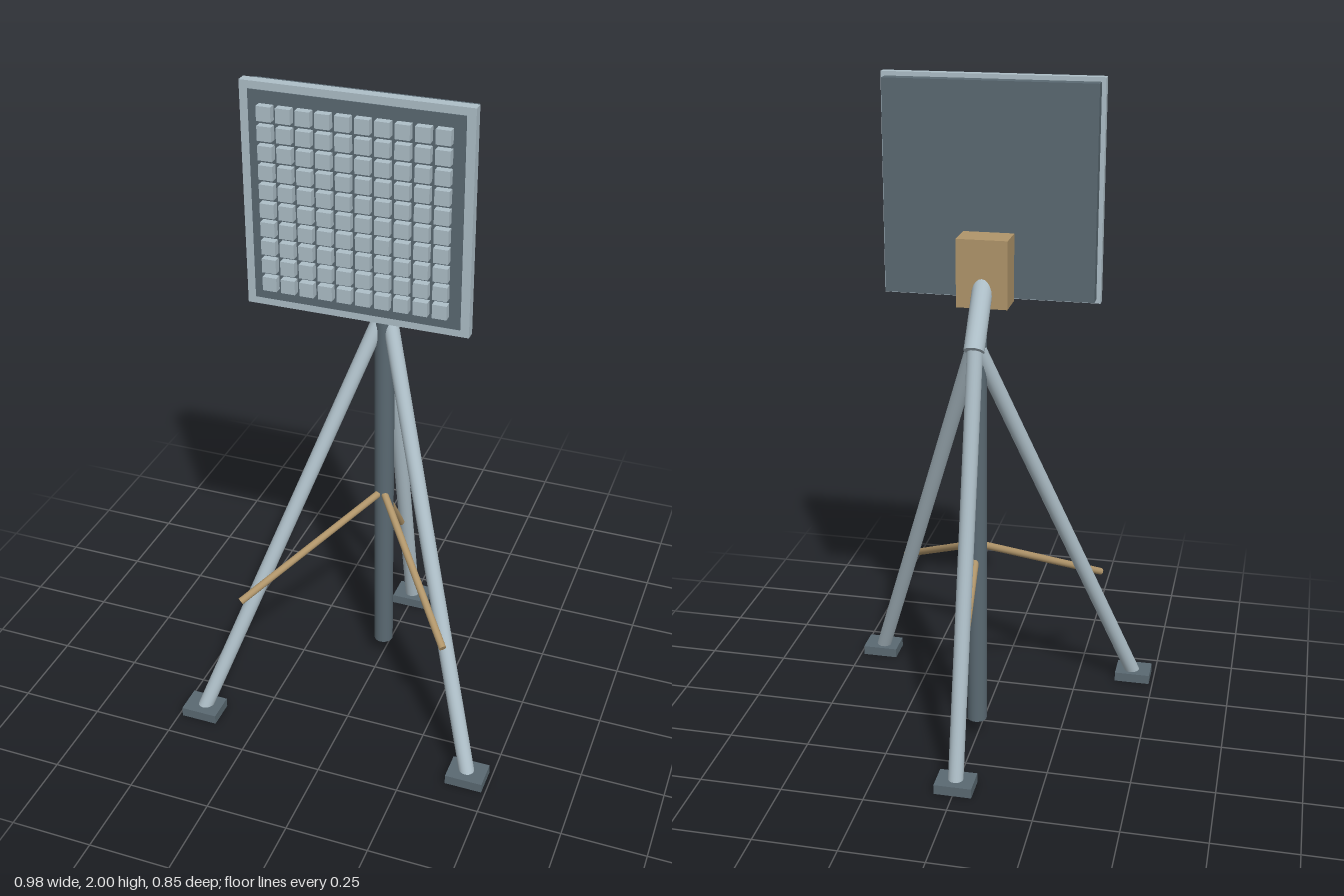
import * as THREE from 'three';

const mat = (name, hex) => {
  const m = new THREE.MeshStandardMaterial({ color: hex });
  m.name = name;
  return m;
};

export function createModel() {
  const model = new THREE.Group();
  model.name = 'tripodPanel';
  const light = mat('paleSteel', 0xaebfc8);
  const dark = mat('darkSteel', 0x5a6972);
  const tan = mat('tan', 0xb0956a);

  const add = (name, geometry, material, parent = model) => {
    const mesh = new THREE.Mesh(geometry, material);
    mesh.name = name;
    parent.add(mesh);
    return mesh;
  };
  const box = (name, material, size, pos, parent) => {
    const mesh = add(name, new THREE.BoxGeometry(...size), material, parent);
    mesh.position.set(...pos);
    return mesh;
  };
  // Round bar running between two points
  const rod = (name, material, radius, from, to, parent) => {
    const a = new THREE.Vector3(...from), b = new THREE.Vector3(...to);
    const dir = b.clone().sub(a);
    const mesh = add(name, new THREE.CylinderGeometry(radius, radius, dir.length(), 20), material, parent);
    mesh.position.copy(a).add(b).multiplyScalar(0.5);
    mesh.quaternion.setFromUnitVectors(new THREE.Vector3(0, 1, 0), dir.normalize());
    return mesh;
  };

  // Panel: dark back housing, pale frame, dark face and a 10 x 10 grid of tiles
  const panel = new THREE.Group();
  panel.name = 'panel';
  panel.position.y = 1.678;
  model.add(panel);
  box('housing', dark, [0.62, 0.62, 0.04], [0, 0, 0.098], panel);
  box('frame', light, [0.645, 0.645, 0.03], [0, 0, 0.133], panel);
  box('face', dark, [0.596, 0.602, 0.006], [0, 0, 0.148], panel);
  const tiles = new THREE.Group();
  tiles.name = 'tiles';
  panel.add(tiles);
  const pitch = 0.0545;
  for (let row = 0; row < 10; row++) {
    for (let col = 0; col < 10; col++) {
      box('tile', light, [0.041, 0.041, 0.023], [(col - 4.5) * pitch, (row - 4.5) * pitch, 0.162], tiles);
    }
  }

  // Mounting box, tilted arm and mast
  box('mountBox', tan, [0.15, 0.2, 0.1], [0, 1.46, 0.03]);
  rod('arm', light, 0.03, [0, 1.264, -0.122], [0, 1.45, 0.02]);
  rod('mast', dark, 0.03, [0, 0.063, -0.085], [0, 1.296, -0.085]);

  // Three legs, each with a foot pad and a brace
  const legs = [
    { name: 'leftLeg', top: [0.008, 1.262, -0.097], foot: [0.432, 0.38], brace: [0.322, 0.41, 0.307] },
    { name: 'rightLeg', top: [-0.008, 1.262, -0.097], foot: [-0.432, 0.38], brace: [-0.322, 0.41, 0.307] },
    { name: 'backLeg', top: [0, 1.265, -0.108], foot: [0, -0.385], brace: [0, 0.412, -0.252] },
  ];
  for (const { name, top, foot: [x, z], brace } of legs) {
    const group = new THREE.Group();
    group.name = name;
    model.add(group);
    rod('tube', light, 0.023, [x, 0.015, z], top, group);
    box('footPad', dark, [0.113, 0.03, 0.087], [x, 0.015, z], group);
    rod('brace', tan, 0.011, [0, 0.65, -0.075], brace, group);
  }
  return model;
}
